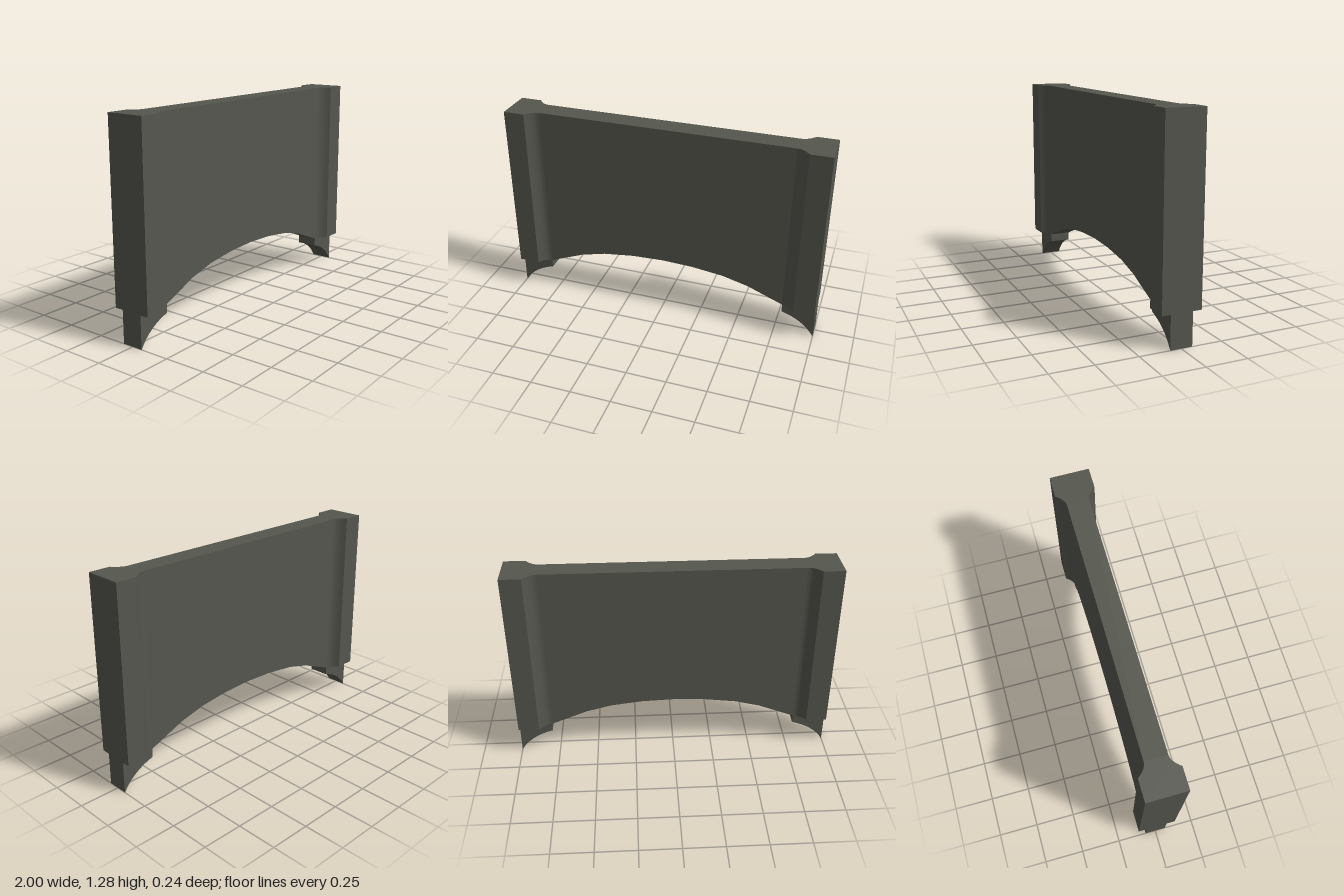
import * as THREE from 'three';
import { toCreasedNormals } from 'three/addons/utils/BufferGeometryUtils.js';

const TOP = 1.28, SPRING = 0.2;      // top edge, height where the arch starts
const INNER = 0.79, WEB = 0.067;     // inner edge of the end posts, half thickness of the wall
const POST = 0.12;                   // half thickness of the end posts

const stone = new THREE.MeshStandardMaterial({ color: 0x55574e });
stone.name = 'dark stone';

function extrude(shape, depth, curveSegments = 8) {
  const geo = new THREE.ExtrudeGeometry(shape, { depth, bevelEnabled: false, curveSegments });
  return toCreasedNormals(geo, 0.5);
}

function part(name, geo) {
  const mesh = new THREE.Mesh(geo, stone);
  mesh.name = name;
  return mesh;
}

export function createModel() {
  const model = new THREE.Group();
  model.name = 'archedWall';

  // Thin wall with a shallow arch along its lower edge
  const half = [[INNER, SPRING], [0.56, 0.292], [0.4, 0.333], [0.2, 0.358]];
  const arch = [...half.map(([x, y]) => [-x, y]), [0, 0.366], ...half.slice().reverse()];
  const wall = new THREE.Shape([...arch, [INNER, TOP], [-INNER, TOP]].map(p => new THREE.Vector2(...p)));
  const wallGeo = extrude(wall, 2 * WEB);
  wallGeo.translate(0, 0, -WEB);
  model.add(part('wall', wallGeo));

  // End post in plan, flaring out from the wall with a hollow curve
  const plan = new THREE.Shape();
  plan.moveTo(1, -POST);
  plan.lineTo(1, POST);
  plan.lineTo(0.868, POST);
  plan.quadraticCurveTo(0.829, WEB, INNER, WEB);
  plan.lineTo(INNER, -WEB);
  plan.quadraticCurveTo(0.829, -WEB, 0.868, -POST);
  const postGeo = extrude(plan, TOP - SPRING);
  postGeo.rotateX(-Math.PI / 2);
  postGeo.translate(0, SPRING, 0);

  // Foot under each post, with a hollow curve on its inner underside
  const foot = new THREE.Shape();
  foot.moveTo(1, 0);
  foot.lineTo(1, SPRING);
  foot.lineTo(INNER, SPRING);
  foot.lineTo(INNER, 0.147);
  foot.quadraticCurveTo(0.93, 0.11, 1, 0);
  const footGeo = extrude(foot, 2 * WEB);
  footGeo.translate(0, 0, -WEB);

  // Both ends
  for (const [side, turn] of [['left', 0], ['right', Math.PI]]) {
    const end = new THREE.Group();
    end.name = side + 'End';
    end.rotation.y = turn;
    end.add(part(side + 'Post', postGeo), part(side + 'Foot', footGeo));
    model.add(end);
  }
  return model;
}
